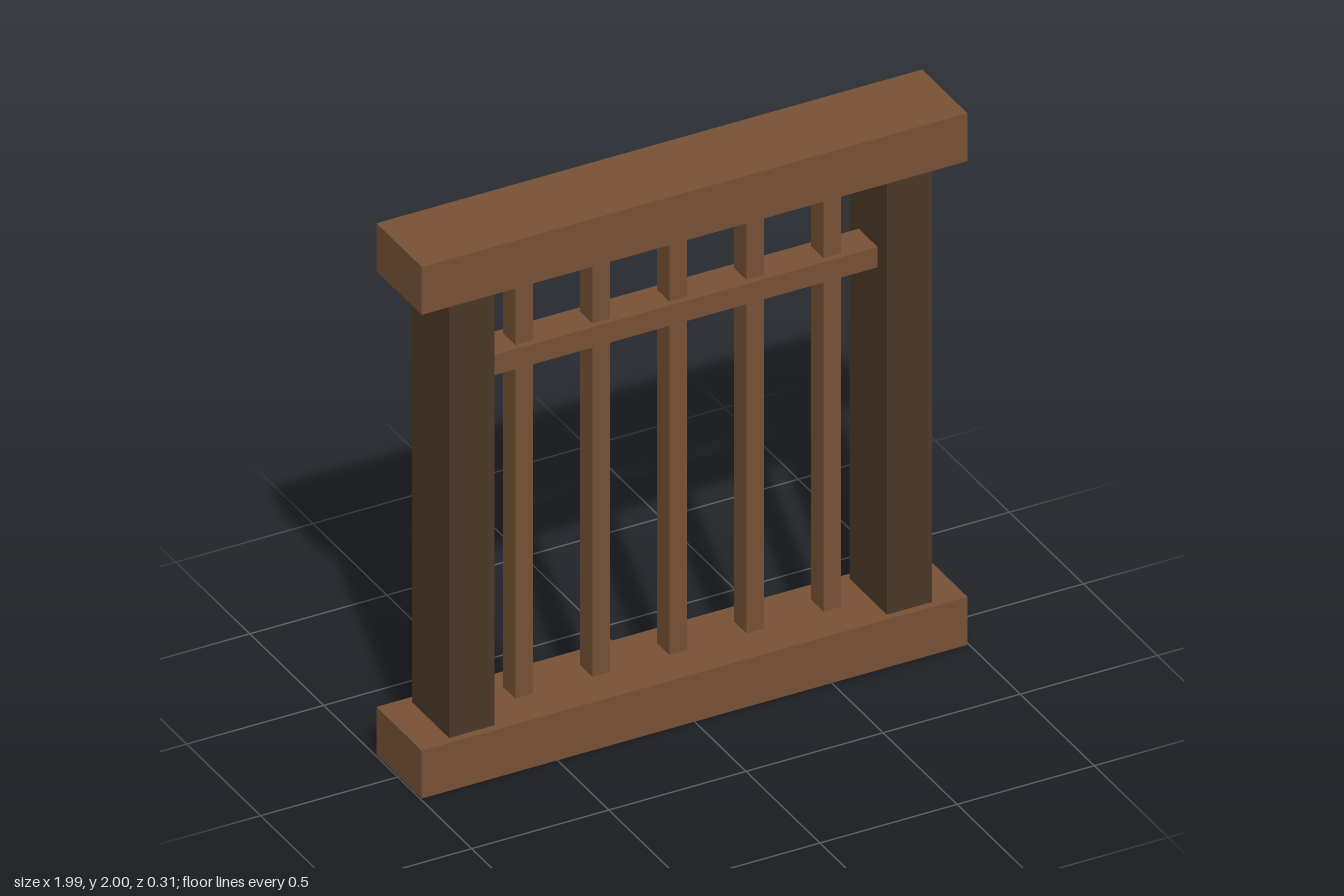
import * as THREE from 'three';

export function createModel() {
  const group = new THREE.Group();
  const wood = new THREE.MeshStandardMaterial({ color: 0x785236 });
  const darkWood = new THREE.MeshStandardMaterial({ color: 0x4c3826 });

  // Box spanning y0..y1, centred on x and on z = 0
  const addBeam = (name, material, width, depth, x, y0, y1) => {
    const mesh = new THREE.Mesh(new THREE.BoxGeometry(width, y1 - y0, depth), material);
    mesh.name = name;
    mesh.position.set(x, (y0 + y1) / 2, 0);
    group.add(mesh);
  };

  // Sill and lintel
  addBeam('bottomRail', wood, 1.99, 0.306, 0, 0, 0.18);
  addBeam('topRail', wood, 1.99, 0.306, 0, 1.82, 2);

  // Side posts
  addBeam('leftPost', darkWood, 0.165, 0.252, 0.798, 0.18, 1.82);
  addBeam('rightPost', darkWood, 0.165, 0.252, -0.798, 0.18, 1.82);

  // Upright bars, stopping just short of both rails
  for (let i = -2; i <= 2; i++) {
    addBeam(`bar${i + 3}`, wood, 0.064, 0.084, i * 0.281, 0.2, 1.765);
  }

  // Crossbar between the posts
  addBeam('crossbar', wood, 1.432, 0.128, 0, 1.454, 1.53);

  return group;
}
